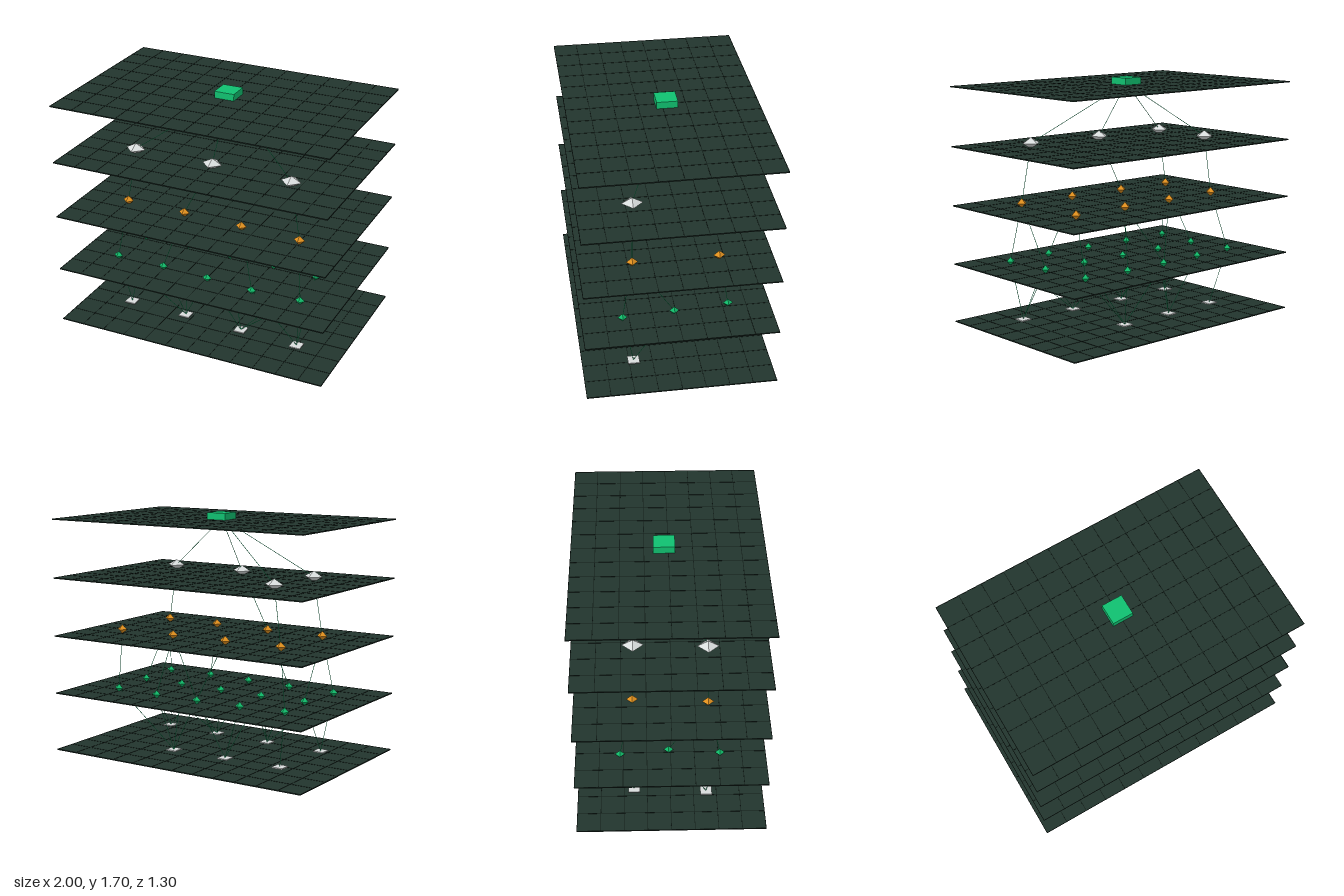
import * as THREE from 'three';

const mat = (name, color, flatShading = false) => {
  const m = new THREE.MeshStandardMaterial({ color, flatShading });
  m.name = name;
  return m;
};

export function createModel() {
  const root = new THREE.Group();
  const board = mat('dark board', 0x22352d);
  const lineMat = mat('grid line', 0x0e1915);
  const green = mat('bright green', 0x10c070);
  const nodeGreen = mat('node green', 0x10b868, true);
  const amber = mat('amber', 0xe0901e, true);
  const silver = mat('silver', 0xd8dcdc, true);

  const add = (name, geo, material, x, y, z, parent = root) => {
    const m = new THREE.Mesh(geo, material);
    m.name = name;
    m.position.set(x, y, z);
    parent.add(m);
    return m;
  };

  // Five stacked boards, each with a 12 x 8 grid of raised lines
  const W = 2, D = 1.3, T = 0.006, STEP = 0.412;
  const boardGeo = new THREE.BoxGeometry(W, T, D);
  const lineX = new THREE.BoxGeometry(W, 0.002, 0.004);
  const lineZ = new THREE.BoxGeometry(0.004, 0.002, D);
  for (let i = 0; i < 5; i++) {
    const level = new THREE.Group();
    level.name = 'level' + (i + 1);
    level.position.y = i * STEP;
    root.add(level);
    add('board', boardGeo, board, 0, T / 2, 0, level);
    for (let k = 0; k <= 12; k++)
      add('gridLine', lineZ, lineMat, (k / 12 - 0.5) * (W - 0.004), T + 0.0006, 0, level);
    for (let k = 0; k <= 8; k++)
      add('gridLine', lineX, lineMat, 0, T + 0.0006, (k / 8 - 0.5) * (D - 0.004), level);
  }

  // Node positions [x, z] on each level
  const pads = [
    [-0.65, 0.25], [-0.205, 0.255], [0.24, 0.275], [0.675, 0.295],
    [-0.615, -0.255], [-0.185, -0.27], [0.24, -0.28],
  ];
  const greens = [
    [-0.7, 0.335], [-0.335, 0.34], [0.02, 0.36], [0.37, 0.385], [0.722, 0.37],
    [-0.663, -0.013], [-0.32, -0.02], [0.018, -0.012], [0.365, 0], [0.695, 0.015],
    [-0.702, -0.345], [-0.367, -0.37], [-0.027, -0.383], [0.31, -0.385], [0.66, -0.36],
  ];
  const ambers = [...pads, [0.677, -0.288]];
  const silvers = [[-0.578, 0.247], [0.01, 0.25], [0.6, 0.28], [-0.555, -0.245]];
  const top = [[0, -0.028]];

  // Flat pads on the lowest board
  const padGeo = new THREE.BoxGeometry(0.08, 0.008, 0.08);
  for (const [x, z] of pads) add('basePad', padGeo, silver, x, 0.032, z);

  // Faceted nodes on the middle boards
  const nodes = (name, list, material, y, r, h) => {
    const geo = new THREE.OctahedronGeometry(1).scale(r, h, r);
    for (const [x, z] of list) add(name, geo, material, x, y, z);
  };
  nodes('smallNode', greens, nodeGreen, 0.443, 0.034, 0.03);
  nodes('mediumNode', ambers, amber, 0.856, 0.04, 0.034);
  nodes('largeNode', silvers, silver, 1.267, 0.072, 0.039);

  // Single block on the highest board
  add('topBlock', new THREE.BoxGeometry(0.145, 0.048, 0.145), green, 0, 1.679, -0.028);

  // Thin links between neighbouring levels, as index pairs [lower, upper]
  const up = new THREE.Vector3(0, 1, 0);
  const links = (lower, y0, upper, y1, pairs) => {
    for (const [i, j] of pairs) {
      const a = new THREE.Vector3(lower[i][0], y0, lower[i][1]);
      const b = new THREE.Vector3(upper[j][0], y1, upper[j][1]);
      const dir = b.clone().sub(a);
      const geo = new THREE.CylinderGeometry(0.0018, 0.0018, dir.length(), 6);
      const mid = a.add(b).multiplyScalar(0.5);
      add('link', geo, green, mid.x, mid.y, mid.z)
        .quaternion.setFromUnitVectors(up, dir.normalize());
    }
  };
  links(pads, 0.034, greens, 0.443, [
    [0, 0], [0, 5], [1, 0], [1, 1], [1, 2], [1, 6], [2, 2], [2, 4], [2, 7], [2, 9],
    [3, 3], [3, 4], [3, 9], [4, 10], [5, 6], [5, 11], [5, 12], [6, 8], [6, 12], [6, 13], [6, 14],
  ]);
  links(greens, 0.443, ambers, 0.856, [
    [0, 0], [5, 0], [1, 1], [3, 2], [4, 3], [9, 3], [10, 4], [12, 5], [12, 6], [13, 6], [14, 7],
  ]);
  links(ambers, 0.856, silvers, 1.267, [[0, 0], [1, 1], [3, 2], [4, 3]]);
  links(silvers, 1.267, top, 1.66, [[0, 0], [1, 0], [2, 0], [3, 0]]);

  return root;
}
